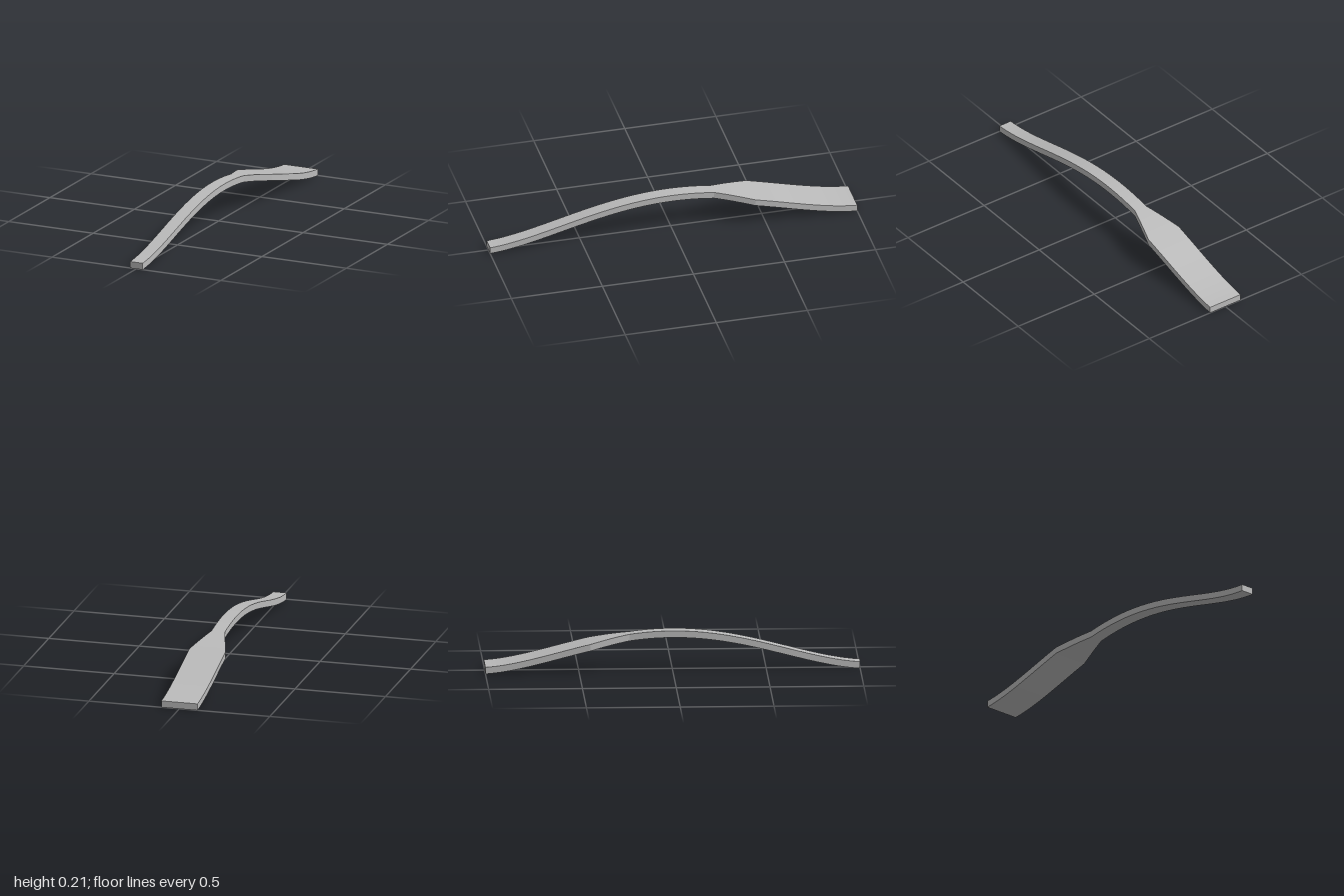
import * as THREE from 'three';
import { toCreasedNormals } from 'three/addons/utils/BufferGeometryUtils.js';

const THICKNESS = 0.036;

// Height of the underside along the length: a symmetric arch flattening at its ends
const archHeight = (z) => 0.003 + 0.176 * (1 - 1.82 * z ** 2 + 0.82 * z ** 4);

// Half width: narrow handle, short taper, wide blade at the back
const halfWidth = (z) =>
  THREE.MathUtils.mapLinear(THREE.MathUtils.clamp(z, -0.44, -0.23), -0.44, -0.23, 0.1, 0.037);

export function createModel() {
  const group = new THREE.Group();
  group.name = 'archedPaddle';

  const greyMaterial = new THREE.MeshStandardMaterial({ color: 0xbbbbbb });
  greyMaterial.name = 'grey';

  // Flat bar, bent into the arch and widened at the blade
  const bar = new THREE.BoxGeometry(2, 1, 2, 1, 1, 200);
  const pos = bar.attributes.position;
  for (let i = 0; i < pos.count; i++) {
    const z = pos.getZ(i);
    pos.setXYZ(
      i,
      pos.getX(i) * halfWidth(z),
      archHeight(z) + (pos.getY(i) + 0.5) * THICKNESS,
      z
    );
  }

  const paddle = new THREE.Mesh(toCreasedNormals(bar, 0.2), greyMaterial);
  paddle.name = 'handleAndBlade';
  group.add(paddle);
  return group;
}
